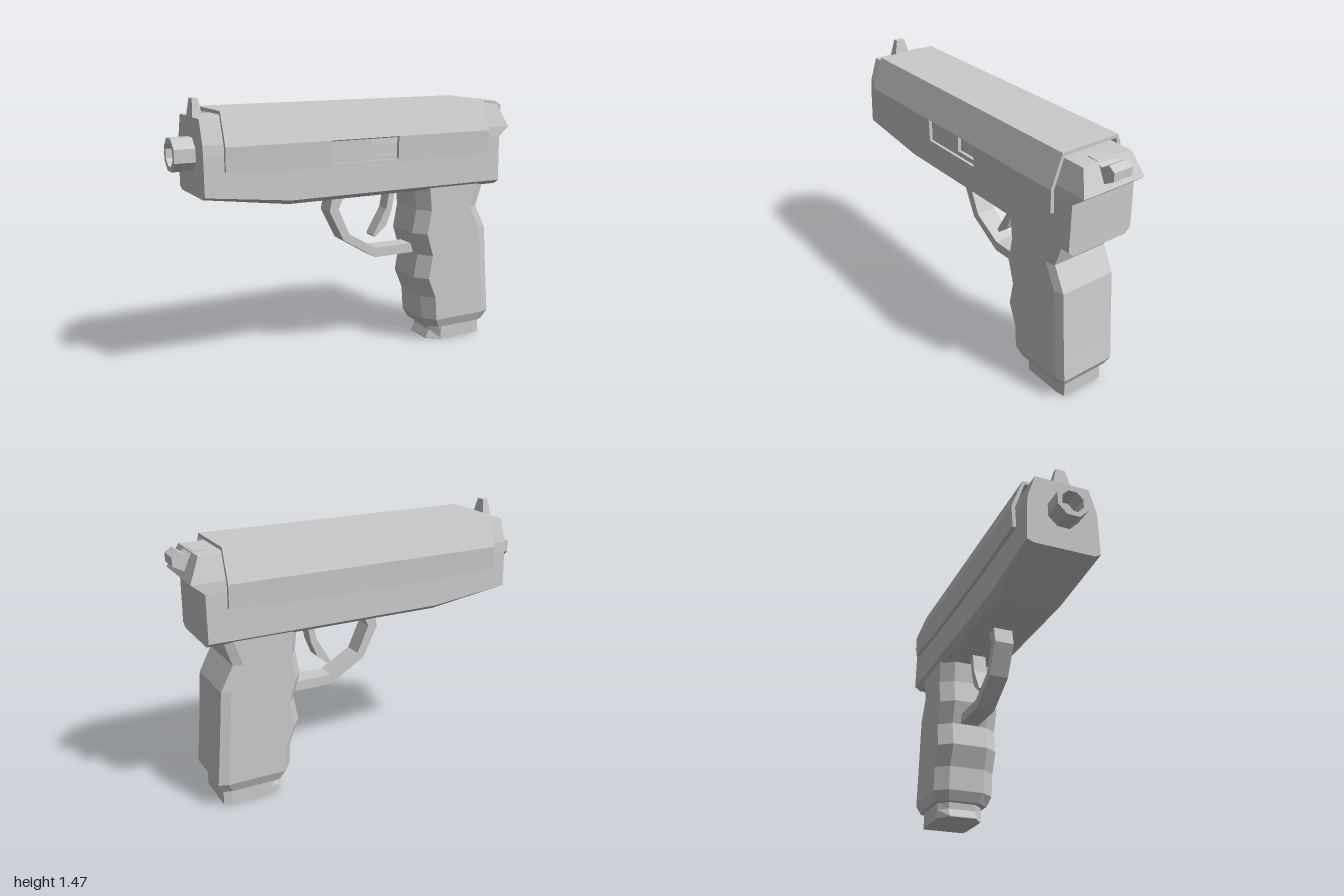
import * as THREE from 'three';

const material = new THREE.MeshStandardMaterial({ color: 0xcccccc, flatShading: true });

function addMesh(group, name, geometry) {
  const mesh = new THREE.Mesh(geometry, material);
  mesh.name = name;
  group.add(mesh);
  return mesh;
}

// Skins a row of rings; each ring's first half mirrors its second, so caps are strips
function loft(rings) {
  const out = [];
  const quad = (a, b, c, d) => out.push(...a, ...b, ...c, ...a, ...c, ...d);
  const n = rings[0].length;
  for (let i = 0; i < rings.length - 1; i++) {
    for (let j = 0; j < n; j++) {
      const k = (j + 1) % n;
      quad(rings[i][j], rings[i + 1][j], rings[i + 1][k], rings[i][k]);
    }
  }
  const first = rings[0], last = rings[rings.length - 1];
  for (let j = 0; j < n / 2 - 1; j++) {
    const p = n - 1 - j;
    quad(first[j], first[j + 1], first[p - 1], first[p]);
    quad(last[p], last[p - 1], last[j + 1], last[j]);
  }
  const geometry = new THREE.BufferGeometry();
  geometry.setAttribute('position', new THREE.Float32BufferAttribute(out, 3));
  geometry.computeVertexNormals();
  return geometry;
}

// Completes a half ring on +z with its mirror on -z
const mirrored = (half) => [...half, ...half.map(([x, y, z]) => [x, y, -z]).reverse()];

// Side outline extruded evenly about z = 0
function plate(points, width) {
  const shape = new THREE.Shape(points.map(([x, y]) => new THREE.Vector2(x, y)));
  return new THREE.ExtrudeGeometry(shape, { depth: width, bevelEnabled: false })
    .translate(0, 0, -width / 2);
}

function box(x0, x1, y0, y1, z0, z1) {
  return new THREE.BoxGeometry(x1 - x0, y1 - y0, z1 - z0)
    .translate((x0 + x1) / 2, (y0 + y1) / 2, (z0 + z1) / 2);
}

export function createModel() {
  const model = new THREE.Group();
  model.name = 'pistol';

  // Frame: chamfered body, sloped under the nose, with a beaked rear end
  const bodyRing = (x, bottom, chamfer, beak = 0) => mirrored([
    [x, bottom, 0.165], [x, bottom + chamfer, 0.2], [x, 1.2, 0.195],
    [x + beak, 1.255, 0.19], [x + beak * 0.15, 1.38, 0.15],
  ]);
  addMesh(model, 'frame', loft([
    bodyRing(-0.89, 0.985, 0.015), bodyRing(-0.43, 0.922, 0.025), bodyRing(0.89, 0.922, 0.025, 0.068),
  ]));

  // Slide: thin folded shell, in three lengths so the middle can hold the port
  const slide = new THREE.Group();
  slide.name = 'slide';
  model.add(slide);
  const shellRing = (x, bottom, portSide = bottom) => [
    [x, portSide, 0.23], [x, 1.245, 0.235], [x, 1.415, 0.172],
    [x, 1.415, -0.172], [x, 1.245, -0.235], [x, bottom, -0.23],
    [x, bottom, -0.21], [x, 1.242, -0.215], [x, 1.397, -0.16],
    [x, 1.397, 0.16], [x, 1.242, 0.215], [x, portSide, 0.21],
  ];
  addMesh(slide, 'slideFront', loft([
    shellRing(-0.79, 1.122), shellRing(-0.4, 1.108), shellRing(-0.21, 1.105),
  ]));
  addMesh(slide, 'slideMiddle', loft([shellRing(-0.21, 1.105, 1.24), shellRing(0.19, 1.105, 1.24)]));
  addMesh(slide, 'slideRear', loft([
    shellRing(0.19, 1.105), shellRing(0.45, 1.108), shellRing(0.787, 1.122),
  ]));
  addMesh(slide, 'portSill', box(-0.21, 0.19, 1.105, 1.122, 0.21, 0.23));
  addMesh(slide, 'bolt', box(-0.21, 0.03, 1.122, 1.242, 0.18, 0.214));
  addMesh(slide, 'portLip', box(0.03, 0.19, 1.122, 1.147, 0.18, 0.214));

  // Barrel: hollow octagonal muzzle
  const barrel = addMesh(model, 'barrel', new THREE.LatheGeometry([
    [0.001, 0.03], [0.062, 0.03], [0.062, 0.13], [0.09, 0.13], [0.09, 0],
  ].reverse().map(([r, y]) => new THREE.Vector2(r, y)), 8, Math.PI / 8));
  barrel.material = material.clone();
  barrel.material.side = THREE.DoubleSide;
  barrel.rotation.z = Math.PI / 2;
  barrel.position.set(-0.87, 1.195, 0);

  // Front sight: tapered post
  const sightRing = (y, x0, x1, z) => mirrored([[x0, y, z], [x1, y, z]]);
  addMesh(model, 'frontSight', loft([
    sightRing(1.47, -0.88, -0.85, 0.025), sightRing(1.37, -0.89, -0.835, 0.05),
  ]));

  // Hammer with a raised spur
  addMesh(model, 'hammer', plate([
    [0.83, 1.385], [0.89, 1.383], [0.92, 1.362], [0.965, 1.39],
    [1, 1.365], [1, 1.32], [0.95, 1.292], [0.83, 1.24],
  ], 0.115));

  // Grip: finger-grooved front edge, straight back strap
  const gripRing = ([y, front, back, s = 1]) => mirrored([
    [front, y, 0.105 * s], [front + 0.056, y, 0.18 * s],
    [back - 0.05, y, 0.18 * s], [back, y, 0.163 * s],
  ]);
  addMesh(model, 'grip', loft([
    [0.95, 0.375, 0.81], [0.8, 0.39, 0.76], [0.665, 0.365, 0.83], [0.535, 0.405, 0.84],
    [0.4, 0.38, 0.85], [0.28, 0.43, 0.86], [0.143, 0.44, 0.872], [0.088, 0.47, 0.842, 0.88],
  ].map(gripRing)));

  // Magazine base
  const baseRing = (y, front) => mirrored([
    [front, y, 0.08], [0.56, y, 0.135], [0.79, y, 0.135], [0.835, y, 0.125],
  ]);
  addMesh(model, 'magazineBase', loft([
    baseRing(0.1, 0.505), baseRing(0.05, 0.51), baseRing(0.005, 0.488), baseRing(0, 0.488),
  ]));

  // Trigger guard and trigger
  addMesh(model, 'triggerGuard', plate([
    [-0.115, 0.94], [-0.138, 0.83], [-0.052, 0.66], [0.15, 0.538], [0.43, 0.538],
    [0.43, 0.592], [0.155, 0.592], [-0.015, 0.69], [-0.083, 0.84], [-0.035, 0.94],
  ], 0.11));
  addMesh(model, 'trigger', plate([
    [0.255, 0.94], [0.23, 0.81], [0.145, 0.665], [0.157, 0.652],
    [0.228, 0.71], [0.265, 0.8], [0.292, 0.94],
  ], 0.08));

  return model;
}
